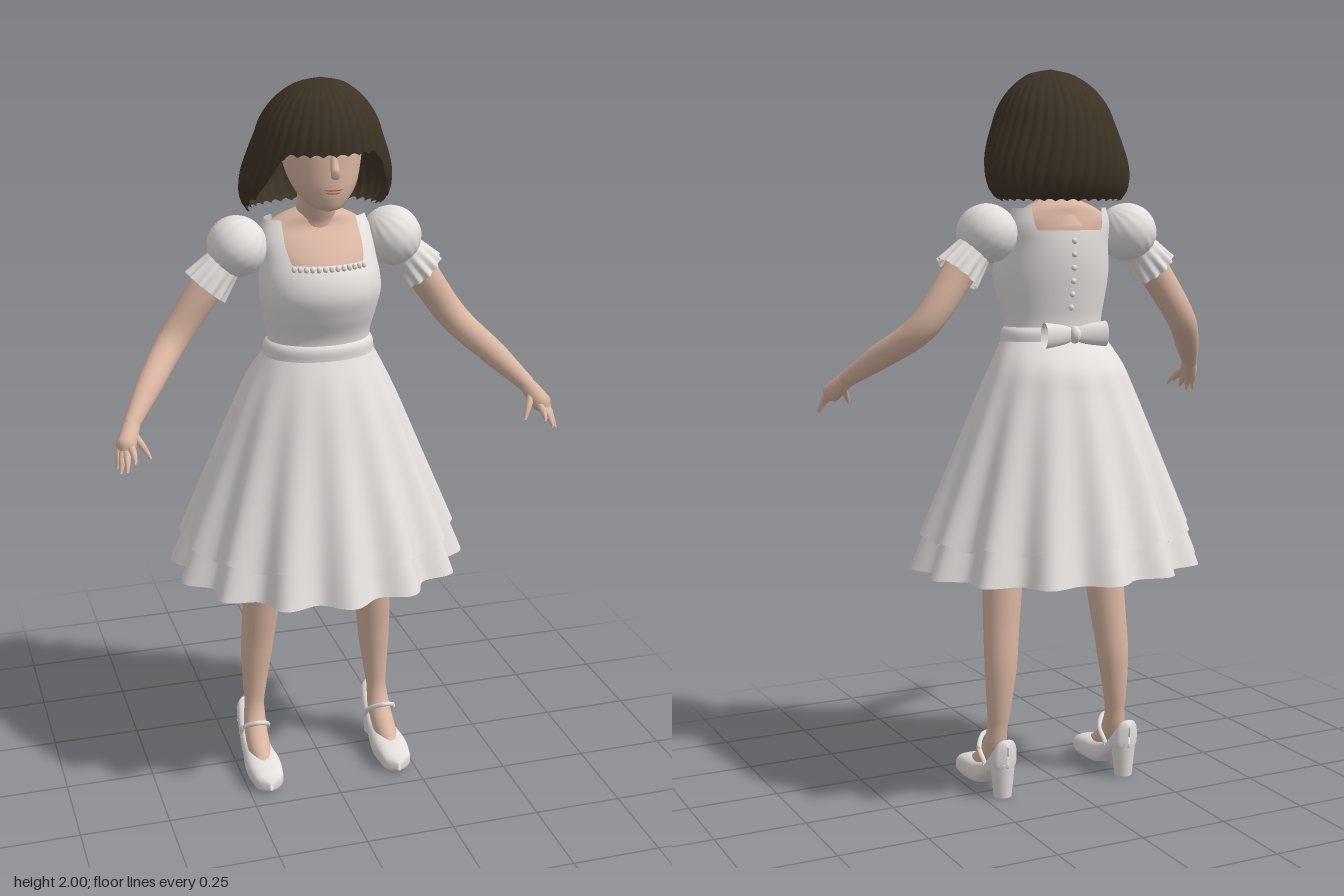
import * as THREE from 'three';

const TAU = Math.PI * 2;
const V = (x, y, z) => new THREE.Vector3(x, y, z);
const material = (name, color, side = THREE.FrontSide) => {
  const m = new THREE.MeshStandardMaterial({ color, side });
  m.name = name;
  return m;
};

// Grid surface from a rule; the u direction may wrap around
function surface(nu, nv, wrap, rule) {
  const cols = wrap ? nu : nu + 1, pos = [], index = [];
  for (let j = 0; j <= nv; j++)
    for (let i = 0; i < cols; i++) pos.push(...rule(i / nu, j / nv));
  for (let j = 0; j < nv; j++)
    for (let i = 0; i < nu; i++) {
      const a = j * cols + i, b = j * cols + ((i + 1) % cols);
      index.push(a, b, b + cols, a, b + cols, a + cols);
    }
  const g = new THREE.BufferGeometry();
  g.setAttribute('position', new THREE.Float32BufferAttribute(pos, 3));
  g.setIndex(index);
  g.computeVertexNormals();
  return g;
}

// Smooth interpolation through rows of [key, a, b, c]
function profile(rows) {
  const f = new THREE.CubicInterpolant(rows.map(r => r[0]), rows.flatMap(r => r.slice(1)), 3);
  return t => Array.from(f.evaluate(t));
}

// Point on a body section: rows give [y, half width, front z, back z]; angle 0 is the front
function onSection(prof, a, y, k = 1, offset = 0) {
  const [rx, zf, zb] = prof(y), c = (zf + zb) / 2, rz = (zf - zb) / 2;
  return [(rx * k + offset) * Math.sin(a), y, c + (rz * k + offset) * Math.cos(a)];
}

// Upright shell between two edge heights, with optional ripples
function shell(prof, lo, hi, { nu = 64, nv = 24, ripple = () => 1, ease = v => v, offset = 0 } = {}) {
  return surface(nu, nv, true, (u, v) => {
    const a = u * TAU, y = lo(a) + (hi(a) - lo(a)) * ease(v);
    return onSection(prof, a, y, ripple(a, y), offset);
  });
}

// Tube with changing radius along a smooth path
function limb(points, radii, nu = 20, nv = 32) {
  const curve = new THREE.CatmullRomCurve3(points.map(p => V(...p)));
  const frames = curve.computeFrenetFrames(nv);
  return surface(nu, nv, true, (u, v) => {
    const j = Math.round(v * nv), t = curve.getUtoTmapping(v) * (radii.length - 1);
    const i = Math.min(Math.floor(t), radii.length - 2);
    const r = THREE.MathUtils.lerp(radii[i], radii[i + 1], t - i);
    return curve.getPointAt(v)
      .addScaledVector(frames.normals[j], r * Math.cos(u * TAU))
      .addScaledVector(frames.binormals[j], r * Math.sin(u * TAU)).toArray();
  });
}

export function createModel() {
  const root = new THREE.Group();
  root.name = 'womanInDress';
  const cloth = material('white cloth', 0xe4e0de, THREE.DoubleSide);
  const skin = material('skin', 0xdab5a2, THREE.DoubleSide);
  const hairMat = material('dark brown hair', 0x3c3225, THREE.DoubleSide);
  const lipMat = material('lip', 0xbf8878);
  const eyeMat = material('eye white', 0xece8e4);
  const add = (name, geometry, mat, parent = root) => {
    const m = new THREE.Mesh(geometry, mat);
    m.name = name;
    parent.add(m);
    return m;
  };
  const ball = (name, p, s, mat, parent = root) => {
    const m = add(name, new THREE.SphereGeometry(1, 20, 14), mat, parent);
    m.position.set(...p);
    m.scale.set(...s);
    return m;
  };
  const flat = y => () => y;
  const smooth = THREE.MathUtils.smoothstep;

  // Head, face and neck
  const headProf = profile([
    [1.668, 0.008, 0.115, 0.09], [1.675, 0.032, 0.138, 0.05], [1.695, 0.058, 0.15, 0],
    [1.73, 0.083, 0.156, -0.03], [1.78, 0.1, 0.156, -0.07], [1.84, 0.107, 0.152, -0.09],
    [1.9, 0.1, 0.13, -0.09], [1.95, 0.065, 0.09, -0.05], [1.965, 0.005, 0.03, 0.02]]);
  add('head', shell(headProf, flat(1.668), flat(1.965), { nu: 40, nv: 32 }), skin);
  add('nose', limb([[0, 1.83, 0.148], [0, 1.795, 0.162], [0, 1.776, 0.173], [0, 1.768, 0.155]],
    [0.006, 0.011, 0.013, 0.008], 14, 14), skin);
  ball('upperLip', [0, 1.734, 0.155], [0.024, 0.005, 0.008], lipMat);
  ball('lowerLip', [0, 1.726, 0.154], [0.019, 0.005, 0.008], lipMat);
  for (const s of [-1, 1]) {
    ball('eye', [s * 0.045, 1.818, 0.137], [0.02, 0.007, 0.006], eyeMat).rotation.y = s * 0.35;
    ball('eyelash', [s * 0.045, 1.826, 0.138], [0.023, 0.003, 0.007], hairMat).rotation.y = s * 0.35;
  }
  add('neck', limb([[0, 1.56, -0.035], [0, 1.64, -0.01], [0, 1.74, 0.03]], [0.07, 0.053, 0.055]), skin);

  // Bobbed hair: short fringe in front, full length at sides and back
  const hairProf = profile([
    [1.635, 0.165, 0.07, -0.12], [1.66, 0.19, 0.1, -0.145], [1.7, 0.204, 0.13, -0.165],
    [1.75, 0.202, 0.16, -0.171], [1.8, 0.188, 0.176, -0.166], [1.85, 0.169, 0.178, -0.153],
    [1.9, 0.15, 0.164, -0.13], [1.95, 0.113, 0.13, -0.085], [1.975, 0.082, 0.1, -0.045],
    [1.99, 0.052, 0.075, -0.01], [2, 0.001, 0.031, 0.029]]);
  const hairEdge = a => {
    const d = Math.abs(a > Math.PI ? a - TAU : a);
    return 1.82 - 0.125 * smooth(d, 0.68, 1.1) - 0.05 * smooth(d, 1.05, 1.6)
      + 0.007 * Math.abs(Math.sin(17 * a));
  };
  add('hair', shell(hairProf, hairEdge, flat(2), {
    nu: 288, nv: 36, ease: v => 1 - (1 - v) ** 2,
    ripple: (a, y) => 0.985 + 0.022 * Math.abs(Math.sin(18 * a + 1.5 * Math.sin(y * 9))) }), hairMat);

  // Shoulders and upper chest
  const chestProf = profile([
    [1.46, 0.14, 0.14, -0.09], [1.52, 0.14, 0.125, -0.095], [1.57, 0.146, 0.08, -0.095],
    [1.61, 0.132, 0.036, -0.085], [1.64, 0.08, 0.03, -0.075], [1.655, 0.04, 0.02, -0.05]]);
  add('chest', shell(chestProf, flat(1.46), flat(1.655), { nu: 48 }), skin);

  // Bodice with a square neckline in front and a shallow one behind
  const bodiceProf = profile([
    [1.27, 0.14, 0.115, -0.085], [1.32, 0.142, 0.12, -0.085], [1.38, 0.155, 0.147, -0.095],
    [1.44, 0.166, 0.167, -0.105], [1.49, 0.163, 0.158, -0.11], [1.53, 0.157, 0.132, -0.11],
    [1.58, 0.155, 0.085, -0.104], [1.63, 0.138, 0.036, -0.088]]);
  const neckline = a => {
    const d = Math.abs(a > Math.PI ? a - TAU : a);
    return 1.528 + 0.1 * smooth(d, 0.66, 0.84) - 0.06 * smooth(d, 2.25, 2.5);
  };
  add('bodice', shell(bodiceProf, flat(1.27), neckline, { nu: 144, nv: 28 }), cloth);
  for (let i = -6; i <= 6; i++) {
    const a = i * 0.105;
    ball('necklineBead', onSection(bodiceProf, a, 1.521, 1, 0.003), [0.007, 0.009, 0.006], cloth);
  }
  for (let i = 0; i < 6; i++)
    ball('backButton', onSection(bodiceProf, Math.PI, 1.36 + i * 0.036, 1, 0.003), [0.008, 0.008, 0.007], cloth);

  // Waistband and bow
  const bandProf = profile([[1.25, 0.157, 0.125, -0.1], [1.262, 0.155, 0.125, -0.098],
    [1.3, 0.147, 0.122, -0.093], [1.308, 0.138, 0.112, -0.082]]);
  add('waistband', shell(bandProf, flat(1.25), flat(1.308), { nv: 10 }), cloth);
  const bow = new THREE.Group();
  bow.name = 'bow';
  root.add(bow);
  for (const s of [-1, 1])
    add('bowLoop', surface(24, 8, true, (u, v) => {
      const a = u * TAU * s, h = 0.016 + 0.019 * Math.sqrt(v), d = 0.01 + 0.012 * v;
      return [s * (0.008 + 0.085 * v), 1.288 + h * Math.cos(a), -0.11 - 0.006 * v + d * Math.sin(a)];
    }), cloth, bow);
  ball('bowKnot', [0, 1.288, -0.113], [0.017, 0.024, 0.022], cloth, bow);

  // Two-layer skirt with fourteen folds
  const skirtProf = profile([
    [0.64, 0.404, 0.354, -0.356], [0.8, 0.345, 0.296, -0.302], [1, 0.268, 0.224, -0.235],
    [1.13, 0.216, 0.178, -0.188], [1.2, 0.184, 0.15, -0.16], [1.27, 0.146, 0.115, -0.09]]);
  const fold = (a, y) => 1 + 0.058 * Math.min(1, (1.27 - y) / 0.6) * Math.cos(14 * a);
  add('overskirt', shell(skirtProf, a => 0.73 + 0.01 * Math.cos(14 * a), flat(1.27),
    { nu: 224, nv: 30, ripple: fold, offset: 0.006 }), cloth);
  add('underskirt', shell(skirtProf, flat(0.643), flat(1),
    { nu: 224, nv: 12, ripple: fold, offset: -0.006 }), cloth);

  // Sash tails lying on the back of the skirt
  for (const s of [-1, 1])
    add('sashTail', surface(12, 24, false, (u, v) => {
      const y = 1.26 - 0.42 * v, a = Math.PI + s * (0.12 + 0.18 * v) + (u - 0.5) * 0.34;
      return onSection(skirtProf, a, y, fold(a, y), 0.013);
    }), cloth);

  const shoeProf = profile([
    [-0.088, 0.002, 0.09, 0.15], [-0.082, 0.024, 0.08, 0.168], [-0.06, 0.034, 0.072, 0.15],
    [-0.03, 0.037, 0.06, 0.115], [0, 0.038, 0.042, 0.09], [0.05, 0.044, 0.008, 0.076],
    [0.1, 0.05, 0.002, 0.073], [0.15, 0.047, 0.002, 0.064], [0.19, 0.032, 0.004, 0.05],
    [0.205, 0.004, 0.012, 0.035]]);
  const power = x => Math.sign(x) * Math.abs(x) ** 0.7;

  for (const s of [-1, 1]) {
    const side = s > 0 ? 'left' : 'right';

    // Puffed sleeve with gathers, and its flared cuff
    const sleeve = new THREE.Group();
    sleeve.name = side + 'Sleeve';
    sleeve.position.set(s * 0.215, 1.56, -0.015);
    sleeve.rotation.z = s * 0.7;
    root.add(sleeve);
    add('puff', surface(96, 24, true, (u, v) => {
      const a = u * TAU, b = (v - 0.5) * Math.PI;
      const r = Math.cos(b) * (1 + 0.018 * Math.cos(16 * a) * Math.abs(Math.sin(b)));
      return [0.08 * r * Math.sin(a), 0.08 * Math.sin(b), 0.093 * r * Math.cos(a)];
    }), cloth, sleeve);
    add('cuff', surface(96, 10, true, (u, v) => {
      const a = u * TAU, w = 1 - v;
      const r = 0.05 + 0.014 * w + 0.005 * w * Math.cos(12 * a);
      return [r * Math.sin(a), -0.055 - 0.083 * w, r * Math.cos(a)];
    }), cloth, sleeve);

    // Arm and hand
    const arm = new THREE.Group();
    arm.name = side + 'Arm';
    root.add(arm);
    add('arm', limb([[0.2, 1.58, -0.015], [0.3, 1.455, -0.016], [0.4, 1.315, -0.005],
      [0.485, 1.23, 0.095], [0.55, 1.163, 0.185]].map(([x, y, z]) => [s * x, y, z]),
    [0.048, 0.046, 0.041, 0.035, 0.022]), skin, arm);
    add('palm', limb([[0.545, 1.168, 0.178], [0.56, 1.145, 0.205], [0.574, 1.122, 0.232], [0.58, 1.11, 0.243]]
      .map(([x, y, z]) => [s * x, y, z]), [0.021, 0.025, 0.027, 0.012], 16, 12), skin, arm);
    const fingers = [[0.562, 1.123, 0.24, 0.56, 1.098, 0.293], [0.573, 1.115, 0.24, 0.582, 1.077, 0.293],
      [0.582, 1.113, 0.236, 0.596, 1.067, 0.275], [0.588, 1.117, 0.225, 0.601, 1.07, 0.247],
      [0.55, 1.145, 0.208, 0.515, 1.092, 0.257]];
    for (const [x, y, z, X, Y, Z] of fingers)
      add('finger', limb([[s * x, y, z], [s * (x + X) / 2, (y + Y) / 2 + 0.004, (z + Z) / 2 + 0.003],
        [s * X, Y, Z]], [0.011, 0.009, 0.004], 10, 10), skin, arm);

    // Leg and foot
    add(side + 'Leg', limb([[0.09, 1.15, 0.005], [0.115, 0.9, 0.015], [0.153, 0.66, 0.017], [0.168, 0.5, 0.003],
      [0.179, 0.35, -0.013], [0.188, 0.19, -0.01], [0.191, 0.125, 0.008], [0.193, 0.075, 0.06], [0.194, 0.045, 0.12]]
      .map(([x, y, z]) => [s * x, y, z]), [0.085, 0.08, 0.059, 0.052, 0.045, 0.028, 0.033, 0.033, 0.025], 24, 64), skin);

    // Strapped shoe with a block heel
    const shoe = new THREE.Group();
    shoe.name = side + 'Shoe';
    shoe.position.x = s * 0.193;
    root.add(shoe);
    add('shoeUpper', surface(32, 40, true, (u, v) => {
      const z = -0.088 + 0.293 * v, [w, lo, hi] = shoeProf(z), a = u * TAU;
      return [w * power(Math.cos(a)), (lo + hi) / 2 + (hi - lo) / 2 * power(Math.sin(a)), z];
    }), cloth, shoe);
    const heel = add('heel', new THREE.CylinderGeometry(0.036, 0.025, 0.1, 20), cloth, shoe);
    heel.position.set(0, 0.05, -0.052);
    const strap = new THREE.CatmullRomCurve3([V(-0.036, 0.085, -0.015), V(-0.036, 0.125, 0.025),
      V(0, 0.152, 0.058), V(0.036, 0.125, 0.025), V(0.036, 0.085, -0.015)]);
    add('strap', new THREE.TubeGeometry(strap, 24, 0.007, 8), cloth, shoe);
    ball('buckle', [s * 0.038, 0.122, 0.022], [0.007, 0.01, 0.01], cloth, shoe);
  }
  return root;
}
